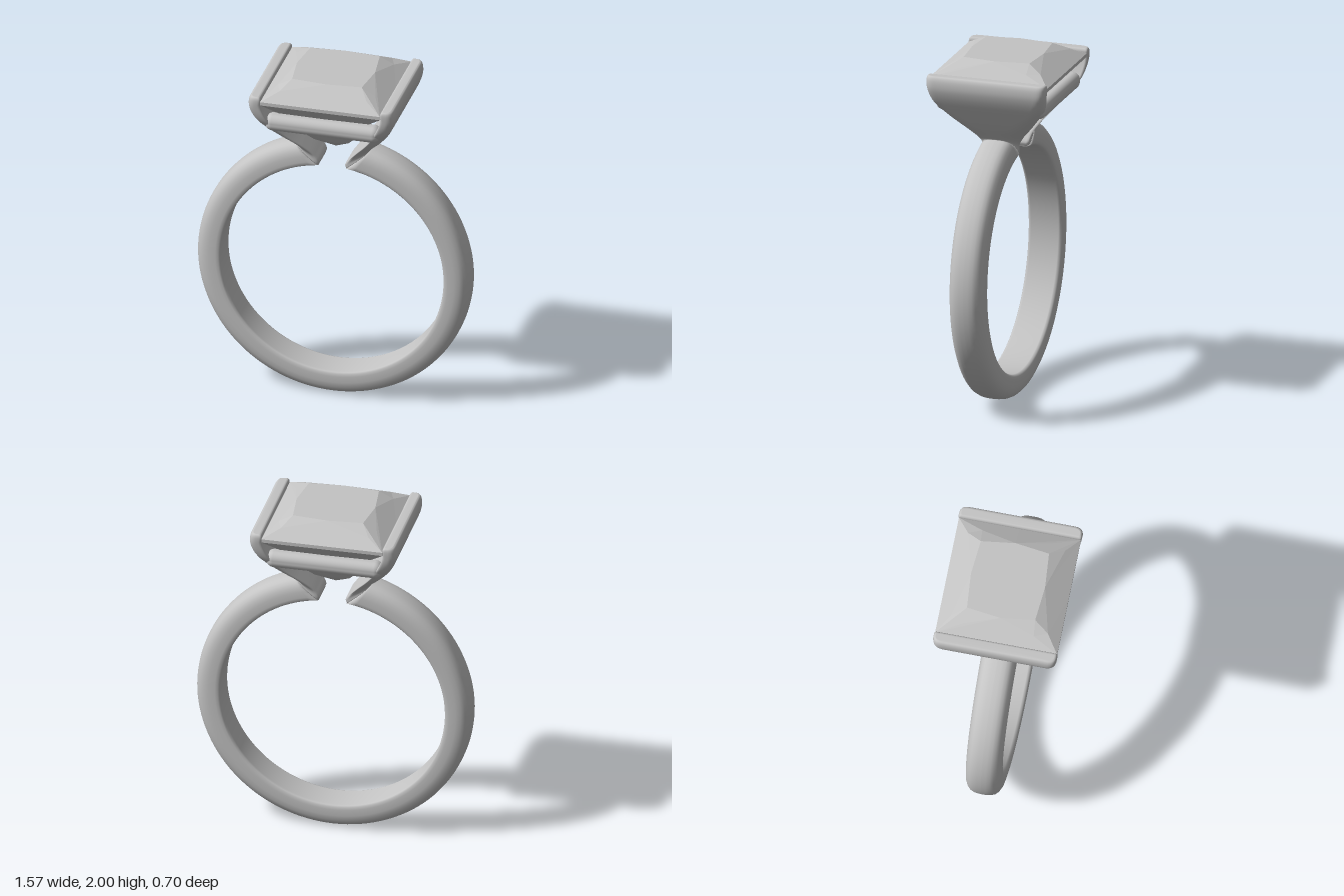
import * as THREE from 'three';
import { RoundedBoxGeometry } from 'three/addons/geometries/RoundedBoxGeometry.js';

// Half of the D-shaped metal section: [depth from inner 0 to outer 1, edge rounding 0..1]
const HALF = [[0, 0.8], [0.03, 0.92], [0.09, 0.98], [0.2, 1], [0.45, 1], [0.65, 0.95],
  [0.8, 0.84], [0.91, 0.68], [0.97, 0.48], [0.995, 0.25], [1, 0]];
const RING = [
  ...HALF.map(([t, w]) => [t, w, -1]),
  ...HALF.slice().reverse().map(([t, w]) => [t, w, 1]),
];

// Skin a row of sections {ix, iy, ox, oy, hz, round}: inner point, outer point, half width
function loft(sections) {
  const pos = [], idx = [], n = RING.length;
  for (const s of sections) {
    for (const [t, w, side] of RING) {
      pos.push(s.ix + (s.ox - s.ix) * t, s.iy + (s.oy - s.iy) * t, side * (s.hz - s.round * (1 - w)));
    }
  }
  for (let r = 0; r < sections.length - 1; r++) {
    for (let i = 0; i < n; i++) {
      const a = r * n + i, b = r * n + (i + 1) % n;
      idx.push(a, b, b + n, a, b + n, a + n);
    }
  }
  // end caps
  const last = (sections.length - 1) * n;
  for (const [start, flip] of [[0, true], [last, false]]) {
    const s = sections[start / n], c = pos.length / 3;
    pos.push((s.ix + s.ox) / 2, (s.iy + s.oy) / 2, 0);
    for (let i = 0; i < n; i++) {
      const a = start + i, b = start + (i + 1) % n;
      if (flip) idx.push(c, b, a); else idx.push(c, a, b);
    }
  }
  const g = new THREE.BufferGeometry();
  g.setAttribute('position', new THREE.Float32BufferAttribute(pos, 3));
  g.setIndex(idx);
  g.computeVertexNormals();
  return g;
}

// Open ring with slanted ends that meet the prongs
function bandGeometry() {
  const cy = 0.785, rIn = 0.64, rOut = 0.785, gap = 0.285, steps = 112;
  const at = (aIn, aOut) => ({
    ix: rIn * Math.sin(aIn), iy: cy + rIn * Math.cos(aIn),
    ox: rOut * Math.sin(aOut), oy: cy + rOut * Math.cos(aOut), hz: 0.1, round: 0.1,
  });
  const list = [at(0.125, gap - 0.006), at(0.2, gap - 0.003)];
  for (let i = 0; i <= steps; i++) {
    const a = gap + (2 * Math.PI - 2 * gap) * i / steps;
    list.push(at(a, a));
  }
  list.push(at(-0.2, 0.003 - gap), at(-0.125, 0.006 - gap));
  return loft(list);
}

// Prong fanning out from the band end to a wide bar beside the stone, listed top down
function prongGeometry() {
  const rows = [ // inner x, y, outer x, y, half width, rounding
    [0.358, 1.936, 0.398, 1.937, 0.335, 0.05],
    [0.35, 1.932, 0.409, 1.93, 0.344, 0.055],
    [0.344, 1.92, 0.417, 1.91, 0.349, 0.06],
    [0.345, 1.88, 0.418, 1.87, 0.347, 0.06],
    [0.325, 1.82, 0.408, 1.83, 0.338, 0.06],
    [0.295, 1.76, 0.386, 1.78, 0.318, 0.065],
    [0.255, 1.69, 0.35, 1.718, 0.265, 0.07],
    [0.205, 1.62, 0.315, 1.665, 0.21, 0.08],
    [0.15, 1.55, 0.277, 1.612, 0.15, 0.09],
    [0.1, 1.485, 0.238, 1.568, 0.108, 0.1],
    [0.074, 1.445, 0.218, 1.543, 0.1, 0.1],
    [0.08, 1.424, 0.216, 1.537, 0.1, 0.1],
  ];
  const inner = new THREE.CatmullRomCurve3(rows.map(r => new THREE.Vector3(r[0], r[1], r[5])));
  const outer = new THREE.CatmullRomCurve3(rows.map(r => new THREE.Vector3(r[2], r[3], r[4])));
  const steps = (rows.length - 1) * 4, list = [];
  for (let i = 0; i <= steps; i++) {
    const p = inner.getPoint(i / steps), q = outer.getPoint(i / steps);
    list.push({ ix: p.x, iy: p.y, ox: q.x, oy: q.y, hz: q.z, round: p.z });
  }
  return loft(list);
}

// Square-cut stone: the facets of one quarter, mirrored to all four
function gemGeometry() {
  const O = [0, 2, 0], C = [0.2, 2, 0.193], Mz = [0, 2, 0.21], Mx = [0.225, 2, 0];
  const Kz = [0.25, 1.957, 0.275], Kx = [0.28, 1.957, 0.2];
  const level = (corner, mid, y) => ({ z: [0, y, mid], c: [corner, y, corner], x: [mid, y, 0] });
  const levels = [
    level(0.345, 0.345, 1.91), level(0.345, 0.345, 1.89), level(0.26, 0.265, 1.81),
    level(0.185, 0.2, 1.69), level(0.1, 0.112, 1.59), level(0, 0, 1.512),
  ];
  const top = levels[0];
  // table and crown
  const facets = [
    [O, Mz, C, Mx], [Mz, Kz, C], [C, Kz, top.c, Kx], [C, Kx, Mx],
    [Mz, top.z, top.c, Kz], [Mx, Kx, top.c, top.x],
  ];
  // girdle and pavilion
  for (let i = 0; i < levels.length - 1; i++) {
    const a = levels[i], b = levels[i + 1];
    facets.push([a.z, b.z, b.c, a.c], [a.c, b.c, b.x, a.x]);
  }
  const pos = [];
  for (const sx of [1, -1]) for (const sz of [1, -1]) {
    for (const f of facets) {
      const p = f.map(v => [v[0] * sx, v[1], v[2] * sz]);
      if (sx * sz < 0) p.reverse();
      for (let i = 1; i < p.length - 1; i++) pos.push(...p[0], ...p[i], ...p[i + 1]);
    }
  }
  const g = new THREE.BufferGeometry();
  g.setAttribute('position', new THREE.Float32BufferAttribute(pos, 3));
  g.computeVertexNormals();
  return g;
}

export function createModel() {
  const model = new THREE.Group();
  model.name = 'ring';
  const silver = new THREE.MeshStandardMaterial({ color: 0xc4c4c4 });
  silver.name = 'silver grey';

  const add = (name, geometry) => {
    const mesh = new THREE.Mesh(geometry, silver);
    mesh.name = name;
    model.add(mesh);
    return mesh;
  };

  add('band', bandGeometry());
  add('stone', gemGeometry());

  const prong = prongGeometry();
  add('leftProng', prong);
  add('rightProng', prong).rotation.y = Math.PI;

  // Bars joining the prongs under the stone
  const rail = new RoundedBoxGeometry(0.66, 0.096, 0.1, 5, 0.042);
  add('frontRail', rail).position.set(0, 1.762, 0.272);
  add('backRail', rail).position.set(0, 1.762, -0.272);

  return model;
}
